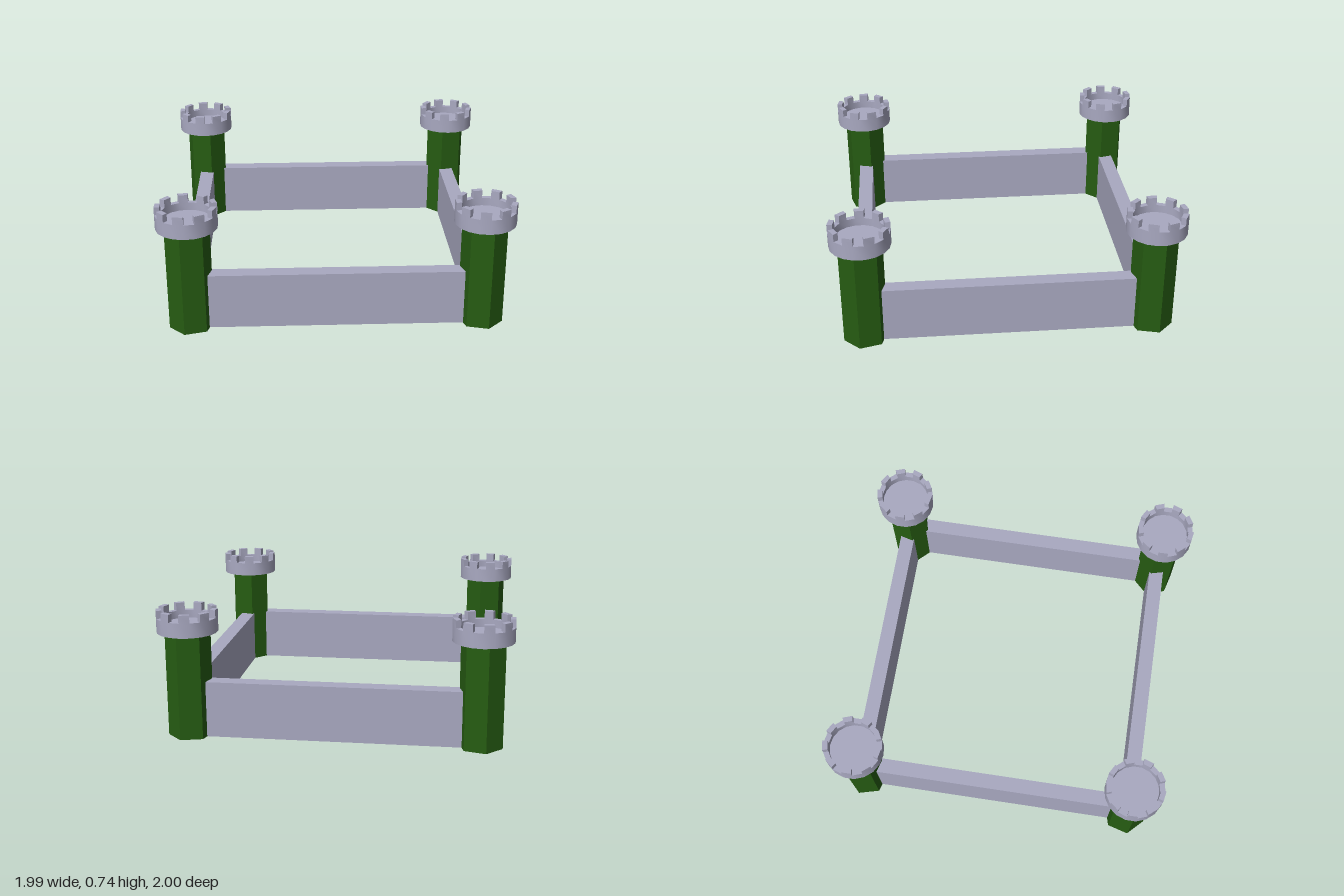
import * as THREE from 'three';
import { mergeGeometries, toCreasedNormals } from 'three/addons/utils/BufferGeometryUtils.js';

const CORNER = 0.826;      // tower centre distance along x and z
const CROWN_Y = 0.61, NOTCH_Y = 0.695, TOP_Y = 0.74;
const R_OUT = 0.173, R_IN = 0.142;
const SIDES = 18;          // alternating notch and merlon

// Hollow cup with nine merlons standing on its rim
function crownGeometry() {
  const floorY = 0.65;
  const profile = [
    [0, CROWN_Y], [R_OUT, CROWN_Y], [R_OUT, NOTCH_Y],
    [R_IN, NOTCH_Y], [R_IN, floorY], [0, floorY],
  ].map(([r, y]) => new THREE.Vector2(r, y));
  const parts = [new THREE.LatheGeometry(profile, SIDES).toNonIndexed()];

  const step = (Math.PI * 2) / SIDES;
  const at = (r, a) => new THREE.Vector2(r * Math.sin(a), -r * Math.cos(a));
  for (let i = 1; i < SIDES; i += 2) {
    const a = i * step, b = a + step;
    const shape = new THREE.Shape([at(R_OUT, a), at(R_OUT, b), at(R_IN, b), at(R_IN, a)]);
    const merlon = new THREE.ExtrudeGeometry(shape, { depth: TOP_Y - NOTCH_Y, bevelEnabled: false });
    merlon.rotateX(-Math.PI / 2).translate(0, NOTCH_Y, 0);
    parts.push(merlon);
  }
  return toCreasedNormals(mergeGeometries(parts), 0.6);
}

export function createModel() {
  const stone = new THREE.MeshStandardMaterial({ color: 0xa9a9c1 });
  stone.name = 'stone';
  const green = new THREE.MeshStandardMaterial({ color: 0x265c12 });
  green.name = 'green';

  const castle = new THREE.Group();
  castle.name = 'castle';

  // Hexagonal shaft, standing on the ground
  const shaftGeo = toCreasedNormals(new THREE.CylinderGeometry(0.128, 0.128, CROWN_Y, 6), 0.6);
  shaftGeo.translate(0, CROWN_Y / 2, 0);
  const crownGeo = crownGeometry();
  const wallGeo = new THREE.BoxGeometry(CORNER * 2, 0.324, 0.088);
  wallGeo.translate(0, 0.163, CORNER);

  for (let i = 0; i < 4; i++) {
    const turn = (i * Math.PI) / 2;

    // Corner tower, with a flat side facing outwards
    const tower = new THREE.Group();
    tower.name = 'tower';
    const angle = turn + Math.PI / 4;
    tower.position.set(
      CORNER * Math.SQRT2 * Math.sin(angle), 0, CORNER * Math.SQRT2 * Math.cos(angle));
    const shaft = new THREE.Mesh(shaftGeo, green);
    shaft.name = 'towerShaft';
    shaft.rotation.y = angle + Math.PI / 6;
    const crown = new THREE.Mesh(crownGeo, stone);
    crown.name = 'towerCrown';
    tower.add(shaft, crown);

    // Wall running between two towers
    const wall = new THREE.Mesh(wallGeo, stone);
    wall.name = 'wall';
    wall.rotation.y = turn;
    castle.add(tower, wall);
  }
  return castle;
}
